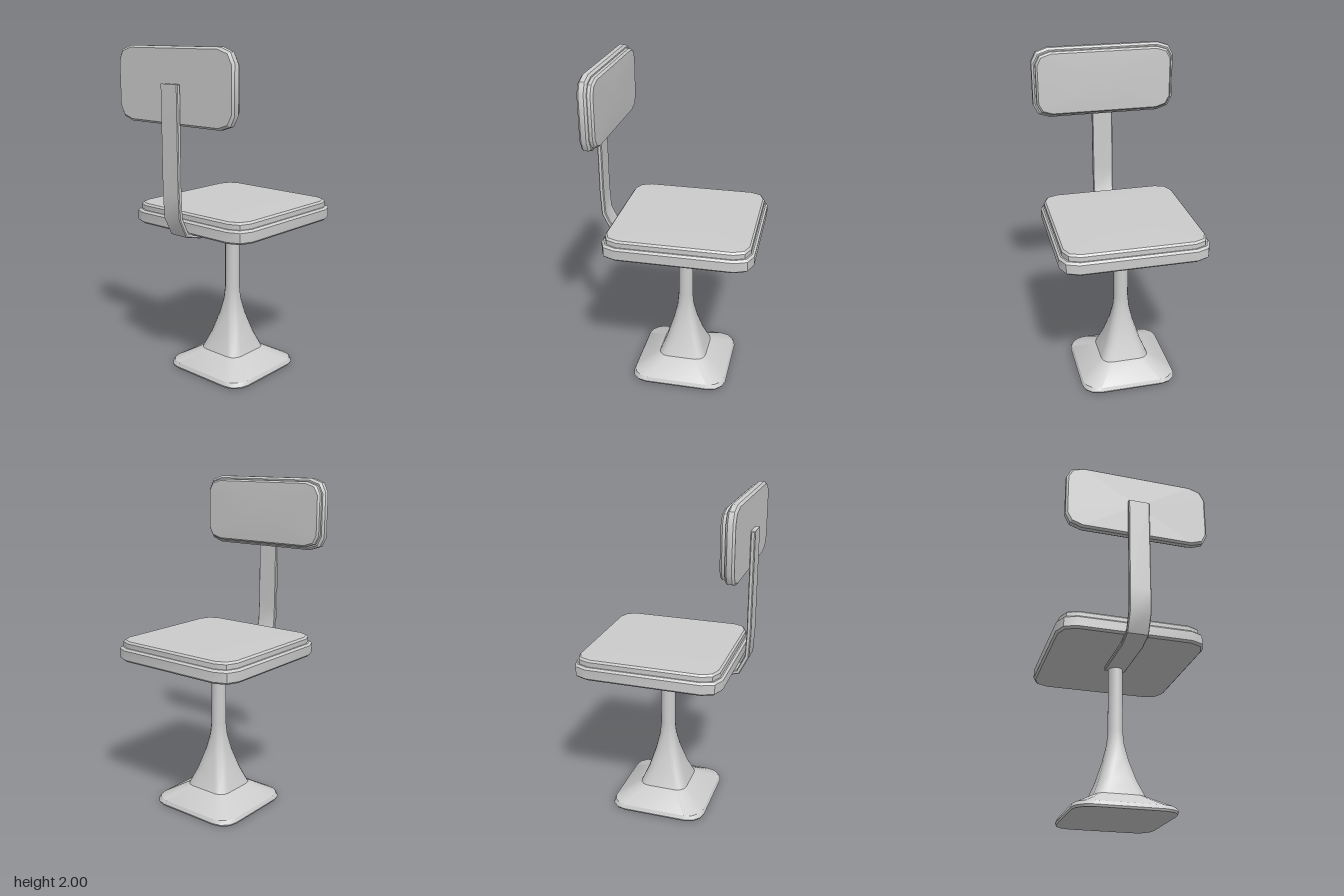
import * as THREE from 'three';
import { toCreasedNormals } from 'three/addons/utils/BufferGeometryUtils.js';

const material = new THREE.MeshStandardMaterial({ color: 0xcccccc });

function addMesh(parent, name, geometry) {
  const mesh = new THREE.Mesh(geometry, material);
  mesh.name = name;
  parent.add(mesh);
  return mesh;
}

// Loft through rounded rectangles, each [y, halfX, halfZ, radiusX, radiusZ], with closed ends.
function loft(rings, cornerSegments, crease) {
  const points = [], faces = [], n = 4 * (cornerSegments + 1);
  for (const [y, hx, hz, rx, rz = rx] of rings) {
    for (let corner = 0; corner < 4; corner++) {
      const sx = corner === 0 || corner === 3 ? 1 : -1;
      const sz = corner < 2 ? 1 : -1;
      for (let i = 0; i <= cornerSegments; i++) {
        const a = (corner + i / cornerSegments) * Math.PI / 2;
        points.push(sx * (hx - rx) + rx * Math.cos(a), y, sz * (hz - rz) + rz * Math.sin(a));
      }
    }
  }
  const last = (rings.length - 1) * n;
  points.push(0, rings[0][0], 0, 0, rings[rings.length - 1][0], 0);
  const bottom = last + n, top = bottom + 1;
  for (let i = 0; i < n; i++) {
    const j = (i + 1) % n;
    for (let k = 0; k < last; k += n) {
      faces.push(k + i, k + n + i, k + j, k + j, k + n + i, k + n + j);
    }
    faces.push(bottom, i, j, top, last + j, last + i);
  }
  const geometry = new THREE.BufferGeometry();
  geometry.setAttribute('position', new THREE.Float32BufferAttribute(points, 3));
  geometry.setIndex(faces);
  return toCreasedNormals(geometry, crease);
}

// Chamfered board and its slightly crowned cushion, stacked along y.
function cushionedBoard(name, hx, hz, rx, rz, boardHeight, cushionHeight) {
  const group = new THREE.Group();
  group.name = name;
  const ring = (y, inset) => [y, hx - inset, hz - inset, rx - inset / 2, rz - inset / 2];
  const b = boardHeight, c = b + cushionHeight;
  addMesh(group, name + 'Board', loft([
    ring(0, 0.012), ring(0.012, 0), ring(b - 0.012, 0), ring(b, 0.012),
  ], 2, 0.5));
  addMesh(group, name + 'Cushion', loft([
    ring(b - 0.005, 0.02), ring(c - 0.012, 0.02), ring(c, 0.03),
    [c + 0.004, hx / 2, hz / 2, rx / 2, rz / 2],
  ], 2, 0.5));
  return group;
}

export function createModel() {
  const chair = new THREE.Group();
  chair.name = 'pedestalChair';

  // Flared foot blending from a rounded square into a round post
  const pedestal = addMesh(chair, 'pedestal', loft([
    [0, 0.295, 0.295, 0.1],
    [0.012, 0.3, 0.3, 0.1],
    [0.035, 0.29, 0.29, 0.1],
    [0.115, 0.15, 0.15, 0.06],
    [0.215, 0.11, 0.11, 0.055],
    [0.34, 0.073, 0.073, 0.05],
    [0.44, 0.052, 0.052, 0.046],
    [0.52, 0.046, 0.046, 0.046],
    [0.955, 0.046, 0.046, 0.046],
  ], 3, 0.6));
  pedestal.position.z = -0.03;

  // Seat
  const seat = cushionedBoard('seat', 0.44, 0.445, 0.1, 0.1, 0.08, 0.04);
  seat.position.set(0, 0.95, -0.045);
  chair.add(seat);

  // Backrest, cushion facing the sitter
  const backrest = cushionedBoard('backrest', 0.44, 0.2125, 0.1, 0.08, 0.052, 0.03);
  backrest.rotation.x = -Math.PI / 2;
  backrest.position.set(0, 1.7875, 0.462);
  chair.add(backrest);

  // Bent flat strip joining seat and backrest, profile given as (z, y)
  const profile = new THREE.Shape([
    [0.49, 1.8], [0.49, 1.2], [0.483, 1.05], [0.43, 0.942], [0.32, 0.915], [-0.05, 0.915],
    [-0.05, 0.94], [0.31, 0.94], [0.413, 0.964], [0.458, 1.06], [0.464, 1.2], [0.464, 1.8],
  ].map(([z, y]) => new THREE.Vector2(-z, y)));
  const strip = new THREE.ExtrudeGeometry(profile, {
    depth: 0.12, bevelSize: 0.005, bevelThickness: 0.005, bevelOffset: -0.005, bevelSegments: 1,
  });
  strip.translate(0, 0, -0.06).rotateY(Math.PI / 2);
  addMesh(chair, 'backSupport', toCreasedNormals(strip, 0.6));

  return chair;
}
